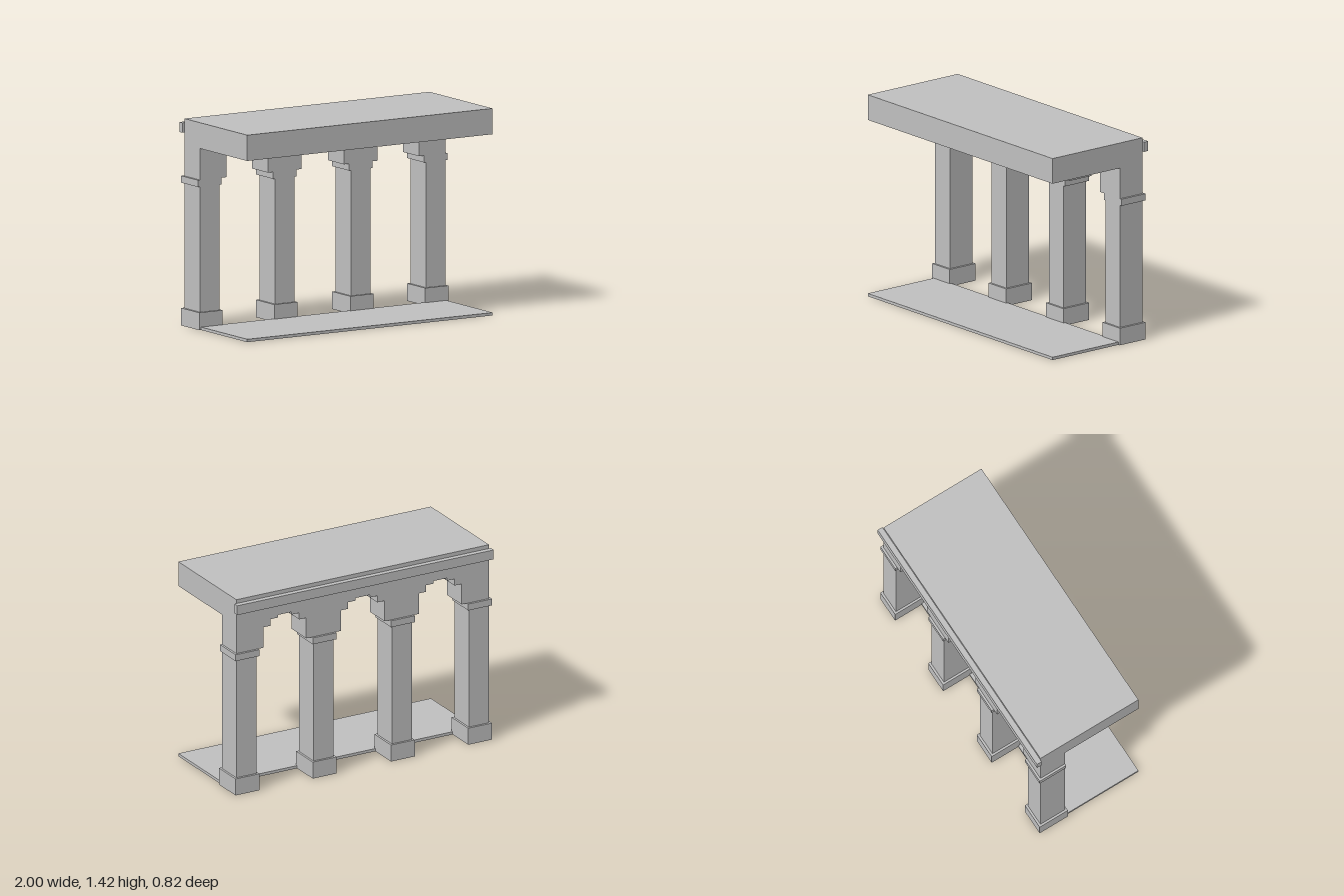
import * as THREE from 'three';

const stone = new THREE.MeshStandardMaterial({ color: 0xc0c0c0 });
stone.name = 'grey stone';

// Box given by its minimum and maximum corners
function block(name, [x0, y0, z0], [x1, y1, z1]) {
  const g = new THREE.BoxGeometry(x1 - x0, y1 - y0, z1 - z0);
  g.translate((x0 + x1) / 2, (y0 + y1) / 2, (z0 + z1) / 2);
  const mesh = new THREE.Mesh(g, stone);
  mesh.name = name;
  return mesh;
}

const BACK = -0.373, FRONT = -0.177, SOFFIT = 1.242, HALF = 0.078;

// Stepped bracket outline: half-width and height, from shaft to soffit
const STEPS = [
  [HALF, 0.02], [HALF, 1.026], [0.135, 1.026], [0.135, 1.175],
  [0.19, 1.175], [0.19, 1.223], [0.248, 1.223], [0.248, SOFFIT],
];

// Shaft and stepped bracket in one piece; a plain side stays straight
function pier(x, plainLeft, plainRight) {
  const side = (sign, plain) => STEPS
    .filter((p, i) => !plain || i === 0 || i === STEPS.length - 1)
    .map(([w, y]) => new THREE.Vector2(sign * (plain ? HALF : w), y));
  const outline = [...side(1, plainRight), ...side(-1, plainLeft).reverse()];
  const g = new THREE.ExtrudeGeometry(new THREE.Shape(outline), { depth: FRONT - BACK, bevelEnabled: false });
  g.translate(x, 0, BACK);
  const mesh = new THREE.Mesh(g, stone);
  mesh.name = 'pier';
  return mesh;
}

export function createModel() {
  const model = new THREE.Group();
  model.name = 'arcade';

  // Roof slab, floor slab and the moulding along the back
  model.add(block('roof', [-0.985, SOFFIT, BACK], [0.985, 1.419, 0.412]));
  model.add(block('floor', [-0.985, 0, FRONT], [0.985, 0.02, 0.412]));
  model.add(block('cornice', [-1, 1.323, -0.411], [1, 1.391, BACK]));

  // Four columns
  [-0.907, -0.305, 0.305, 0.907].forEach((x, i) => {
    const column = new THREE.Group();
    column.name = 'column';
    column.add(pier(x, i === 0, i === 3));
    column.add(block('base', [x - 0.093, 0, -0.389], [x + 0.093, 0.12, -0.163]));
    column.add(block('capital', [x - 0.093, 0.979, -0.389], [x + 0.093, 1.026, FRONT]));
    model.add(column);
  });
  return model;
}
